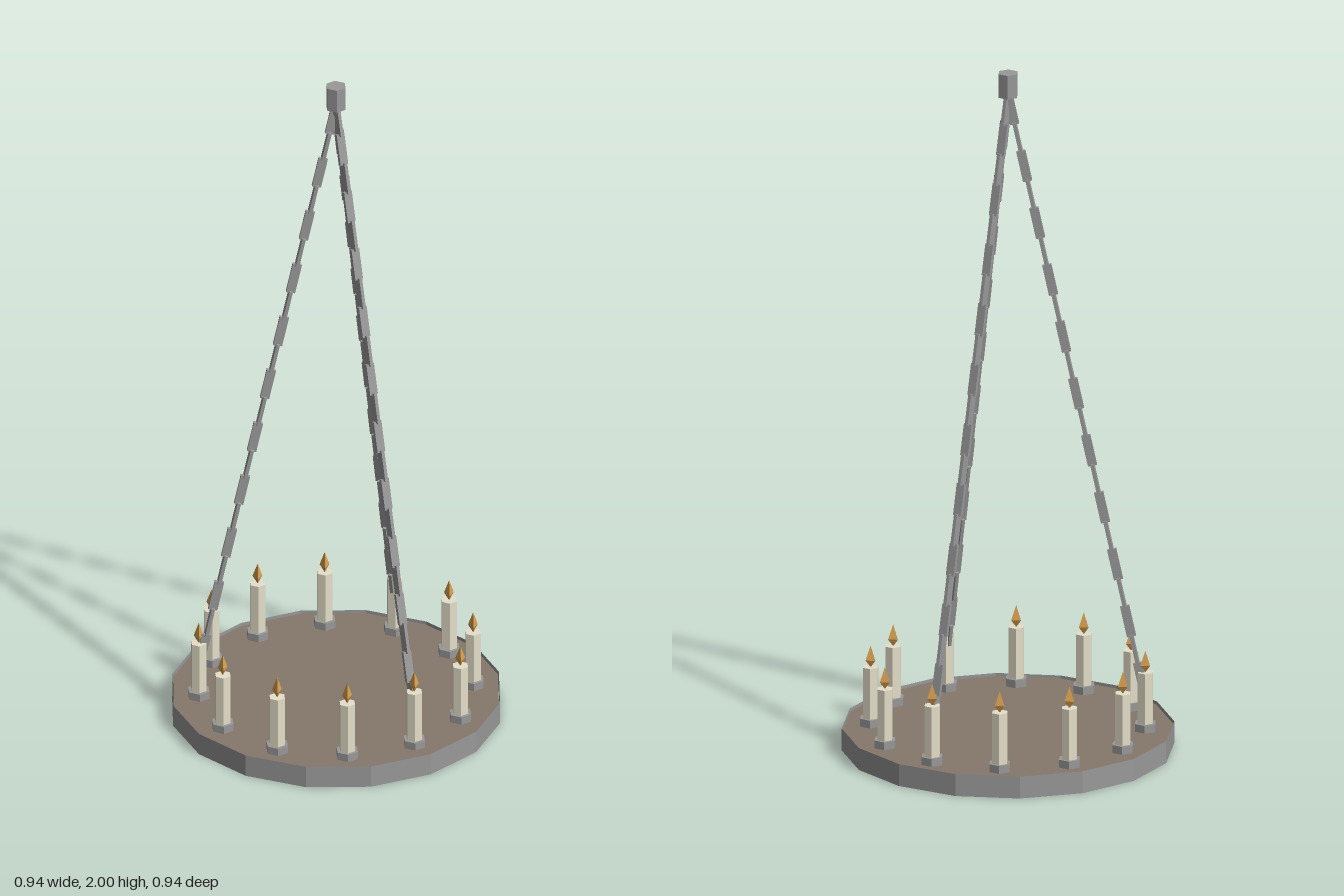
import * as THREE from 'three';

const material = (color, side = THREE.FrontSide) =>
  new THREE.MeshStandardMaterial({ color, side, flatShading: true });

export function createModel() {
  const root = new THREE.Group();
  root.name = 'chandelier';
  const metal = material(0x999999);
  const band = material(0x999999, THREE.DoubleSide);
  const wood = material(0x85786c);
  const wax = material(0xe6e0ca);
  const fire = material(0xd9a050);

  const add = (parent, name, geometry, mat, x = 0, y = 0, z = 0) => {
    const mesh = new THREE.Mesh(geometry, mat);
    mesh.name = name;
    mesh.position.set(x, y, z);
    parent.add(mesh);
    return mesh;
  };

  // Wooden disc inside a thin metal band
  add(root, 'woodenDisc', new THREE.CylinderGeometry(0.467, 0.467, 0.05, 16), wood, 0, 0.032, 0);
  add(root, 'metalBand', new THREE.CylinderGeometry(0.47, 0.47, 0.065, 16, 1, true), band, 0, 0.0325, 0);

  // Twelve candles, each in a hexagonal holder with a three-sided flame
  const holderGeo = new THREE.CylinderGeometry(0.033, 0.033, 0.025, 6).rotateY(Math.PI / 2);
  const candleGeo = new THREE.CylinderGeometry(0.024, 0.024, 0.15, 6).rotateY(Math.PI / 2);
  const flameGeo = new THREE.LatheGeometry([
    new THREE.Vector2(0, 0),
    new THREE.Vector2(0.016, 0.022),
    new THREE.Vector2(0, 0.065),
  ], 3).rotateY(Math.PI / 2);
  for (let i = 0; i < 12; i++) {
    const a = (i * Math.PI) / 6;
    const candle = new THREE.Group();
    candle.name = 'candle';
    candle.position.set(0.388 * Math.sin(a), 0, 0.388 * Math.cos(a));
    add(candle, 'holder', holderGeo, metal, 0, 0.0675, 0);
    add(candle, 'waxStick', candleGeo, wax, 0, 0.155, 0);
    add(candle, 'flame', flameGeo, fire, 0, 0.228, 0);
    root.add(candle);
  }

  // Three chains of flat links, every second link turned a quarter
  const links = 21;
  const top = new THREE.Vector3(0, 1.935, 0);
  const bottom = new THREE.Vector3(0, 0.17, 0.385);
  const linkGeo = new THREE.BoxGeometry(0.026, (top.distanceTo(bottom) / links) * 1.06, 0.01);
  for (let c = 0; c < 3; c++) {
    const chain = new THREE.Group();
    chain.name = 'chain';
    chain.rotation.y = (c * 2 * Math.PI) / 3;
    const tilt = -Math.atan2(bottom.z, top.y - bottom.y);
    for (let i = 0; i < links; i++) {
      const link = add(chain, 'link', linkGeo, metal);
      link.position.lerpVectors(top, bottom, (i + 0.5) / links);
      link.rotation.set(tilt, i % 2 ? 0 : Math.PI / 2, 0);
    }
    root.add(chain);
  }

  // Ceiling cap
  add(root, 'ceilingCap', new THREE.CylinderGeometry(0.03, 0.03, 0.07, 6).rotateY(Math.PI / 2), metal, 0, 1.965, 0);
  return root;
}
